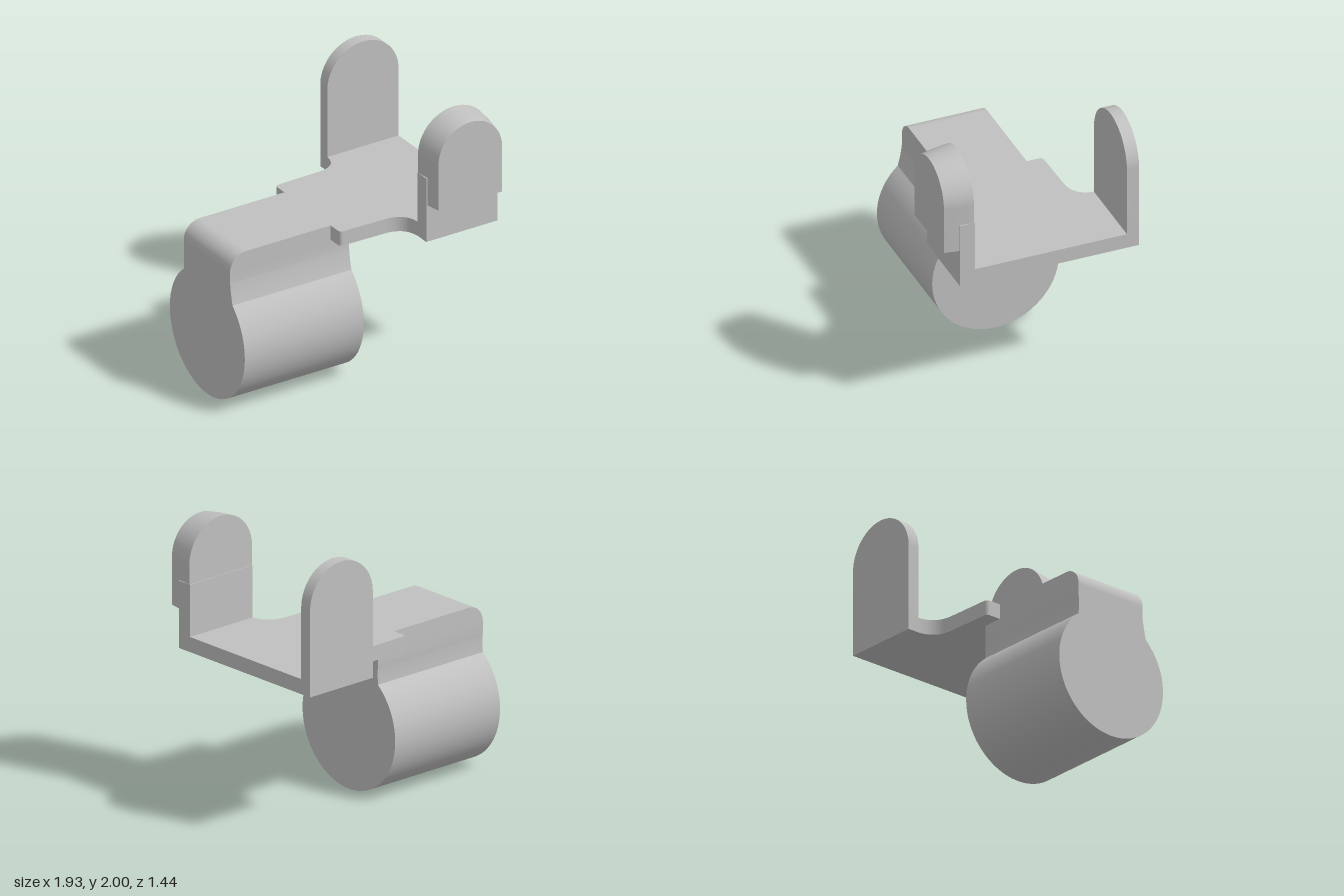
import * as THREE from 'three';
import { toCreasedNormals } from 'three/addons/utils/BufferGeometryUtils.js';

const grey = new THREE.MeshStandardMaterial({ color: 0xc0c0c0 });
grey.name = 'grey';

const LUG_X = 0.67, LUG_R = 0.29, LUG_Y = 1.71;

function extrude(shape, depth, steps = 1) {
  return new THREE.ExtrudeGeometry(shape, { depth, steps, bevelEnabled: false, curveSegments: 32 });
}

// Upright slab with a half-round top
function archShape(base) {
  const s = new THREE.Shape();
  s.moveTo(LUG_X - LUG_R, base);
  s.lineTo(LUG_X + LUG_R, base);
  s.lineTo(LUG_X + LUG_R, LUG_Y);
  s.absarc(LUG_X, LUG_Y, LUG_R, 0, Math.PI, false);
  s.closePath();
  return s;
}

export function createModel() {
  const model = new THREE.Group();
  model.name = 'bracket';
  const add = (name, geometry) => {
    const mesh = new THREE.Mesh(toCreasedNormals(geometry, 0.5), grey);
    mesh.name = name;
    model.add(mesh);
  };

  // Round barrel with a neck, drawn in (-z, y) and extruded along x
  const cz = 0.06, r = 0.47;
  const body = new THREE.Shape();
  const a0 = Math.acos(0.295 / r), a1 = Math.PI - Math.acos(0.315 / r);
  body.moveTo(-0.225, 1.06);
  body.lineTo(-0.225, 0.98);
  body.quadraticCurveTo(-0.232, 0.91, cz + r * Math.cos(a1), r + r * Math.sin(a1));
  body.absarc(cz, r, r, a1, a0 + Math.PI * 2, false);
  body.quadraticCurveTo(0.35, 0.92, 0.355, 0.98);
  body.lineTo(0.355, 1.06);
  body.closePath();
  add('barrel', extrude(body, 0.97).rotateY(Math.PI / 2).translate(-0.97, 0, 0));

  // Neck top with rounded outer edge, stepped under the plate
  const cap = new THREE.Shape();
  cap.moveTo(-0.97, 1.06);
  cap.lineTo(0, 1.06);
  cap.lineTo(0, 1.08);
  cap.lineTo(-0.15, 1.08);
  cap.lineTo(-0.15, 1.19);
  cap.lineTo(-0.84, 1.19);
  cap.absarc(-0.84, 1.06, 0.13, Math.PI / 2, Math.PI, false);
  add('neckTop', extrude(cap, 0.58).translate(0, 0, -0.355));

  // Flat plate, drawn in (x, -z) and extruded upward
  const plate = new THREE.Shape();
  plate.moveTo(-0.15, -0.315);
  plate.quadraticCurveTo(-0.15, -0.342, -0.12, -0.343);
  plate.lineTo(0.2, -0.35);
  plate.bezierCurveTo(0.31, -0.35, 0.37, -0.4, 0.38, -0.5);
  plate.lineTo(0.38, -0.61);
  plate.lineTo(0.96, -0.61);
  plate.lineTo(0.96, 0.72);
  plate.lineTo(0.38, 0.72);
  plate.lineTo(0.38, 0.63);
  plate.bezierCurveTo(0.37, 0.53, 0.31, 0.48, 0.2, 0.48);
  plate.lineTo(-0.12, 0.473);
  plate.quadraticCurveTo(-0.15, 0.47, -0.15, 0.445);
  plate.closePath();
  add('plate', extrude(plate, 0.11).rotateX(-Math.PI / 2).translate(0, 1.08, 0));

  // Back lug
  add('backLug', extrude(archShape(1.19), 0.09).translate(0, 0, -0.72));

  // Front lug stem
  const stem = new THREE.BoxGeometry(0.58, 0.38, 0.11);
  add('frontLugStem', stem.translate(LUG_X, 1.38, 0.555));

  // Front pad, narrowing toward its outer face
  const pad = extrude(archShape(1.36), 0.21, 2);
  const p = pad.attributes.position;
  for (let i = 0; i < p.count; i++) {
    const t = p.getZ(i) / 0.21;
    const k = 1 - 0.045 * t - 0.06 * t * t;
    p.setX(i, LUG_X + (p.getX(i) - LUG_X) * k);
    if (p.getY(i) > LUG_Y) p.setY(i, LUG_Y + (p.getY(i) - LUG_Y) * k);
  }
  add('frontPad', pad.translate(0, 0, 0.506));

  return model;
}
